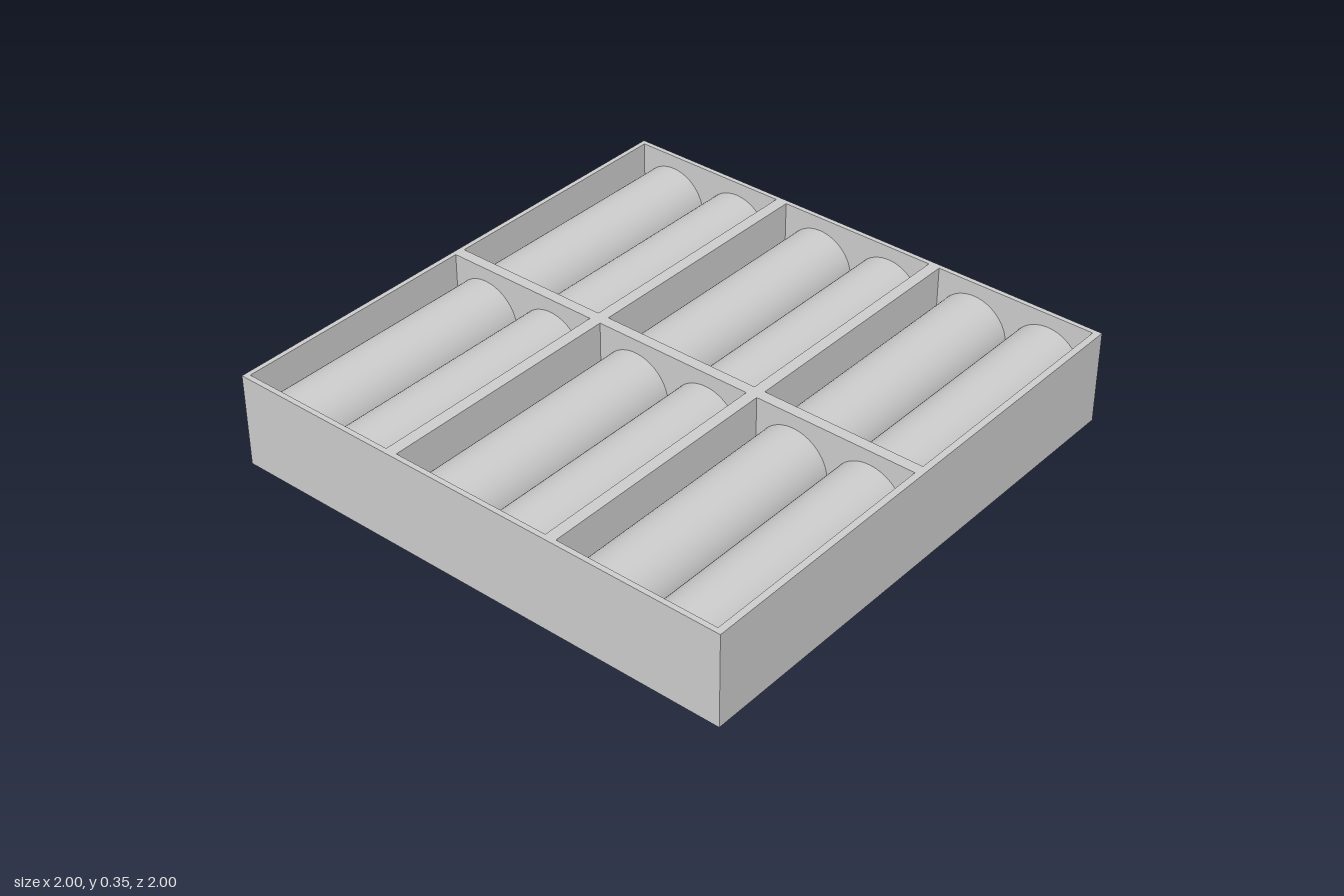
import * as THREE from 'three';

const HEIGHT = 0.354, FLOOR = 0.02, RADIUS = 0.141;

// Compartment columns (x range) and rows (z range with the two roller centres)
const COLUMNS = [[-0.98, -0.024], [0.018, 0.982]];
const ROWS = [
  { z: [-0.982, -0.36], rollers: [-0.841, -0.541] },
  { z: [-0.315, 0.31], rollers: [-0.16, 0.141] },
  { z: [0.353, 0.975], rollers: [0.502, 0.803] },
];

// Rectangle path; shape y is -z once the extrusion is laid flat
function rectangle(path, x0, x1, z0, z1) {
  path.moveTo(x0, -z1);
  path.lineTo(x1, -z1);
  path.lineTo(x1, -z0);
  path.lineTo(x0, -z0);
  path.closePath();
  return path;
}

export function createModel() {
  const model = new THREE.Group();
  model.name = 'dividedTray';
  const material = new THREE.MeshStandardMaterial({ color: 0xcccccc });

  const add = (name, geometry, x = 0, y = 0, z = 0) => {
    const mesh = new THREE.Mesh(geometry, material);
    mesh.name = name;
    mesh.position.set(x, y, z);
    model.add(mesh);
    return mesh;
  };

  // Outer walls and dividers in one piece, open through each compartment
  const outline = rectangle(new THREE.Shape(), -1, 1, -1, 1);
  for (const [x0, x1] of COLUMNS) {
    for (const { z } of ROWS) outline.holes.push(rectangle(new THREE.Path(), x0, x1, z[0], z[1]));
  }
  const walls = new THREE.ExtrudeGeometry(outline, { depth: HEIGHT, bevelEnabled: false });
  walls.rotateX(-Math.PI / 2);
  add('wallsAndDividers', walls);

  for (const [x0, x1] of COLUMNS) {
    const length = x1 - x0, x = (x0 + x1) / 2;

    // Rollers lying on the compartment floors, wall to wall
    const roller = new THREE.CylinderGeometry(RADIUS, RADIUS, length, 64);
    roller.rotateZ(Math.PI / 2);

    for (const { z, rollers } of ROWS) {
      // Floor panel filling the bottom of the compartment
      const depth = z[1] - z[0];
      add('compartmentFloor', new THREE.BoxGeometry(length, FLOOR, depth), x, FLOOR / 2, (z[0] + z[1]) / 2);
      for (const centre of rollers) add('roller', roller, x, FLOOR + RADIUS, centre);
    }
  }

  return model;
}
